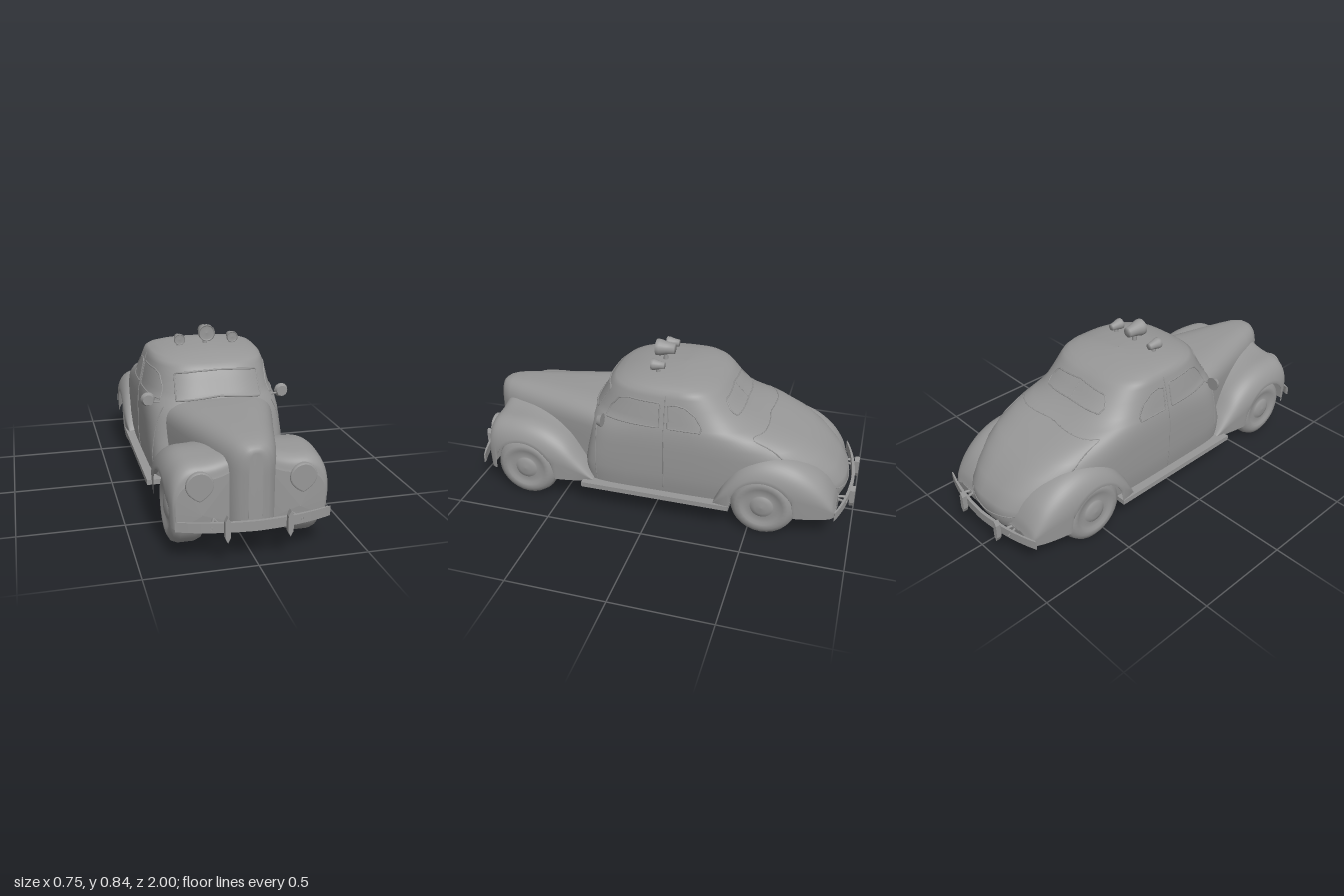
import * as THREE from 'three';

const mat = new THREE.MeshStandardMaterial({ color: 0x979797, side: THREE.DoubleSide });
const V = (x, y, z) => new THREE.Vector3(x, y, z);

function add(parent, name, geo, x = 0, y = 0, z = 0) {
  const m = new THREE.Mesh(geo, mat);
  m.name = name;
  m.position.set(x, y, z);
  parent.add(m);
}

// Skin over a list of equal-length rings; closed rings wrap round.
function loft(rings, closed) {
  const n = rings[0].length, idx = [];
  for (let i = 0; i < rings.length - 1; i++)
    for (let j = 0; j < (closed ? n : n - 1); j++) {
      const a = i * n + j, b = i * n + (j + 1) % n, c = a + n, d = b + n;
      idx.push(a, c, b, b, c, d);
    }
  const g = new THREE.BufferGeometry().setFromPoints(rings.flat());
  g.setIndex(idx);
  g.computeVertexNormals();
  return g;
}

// Body plan outlines by height: y, half width, front z, rear z, front and rear squareness
const ZC = -0.1;
const LEVELS = [
  [0.14, 0.325, 0.37, -0.93, 8, 2.8], [0.2, 0.335, 0.37, -0.955, 8, 2.8],
  [0.26, 0.34, 0.37, -0.945, 8, 2.9], [0.33, 0.34, 0.36, -0.895, 7, 3.1],
  [0.4, 0.34, 0.35, -0.82, 6, 3.4], [0.45, 0.338, 0.35, -0.74, 5, 3.6],
  [0.5, 0.333, 0.35, -0.62, 4, 3.6], [0.53, 0.325, 0.345, -0.51, 3.2, 3.4],
  [0.56, 0.318, 0.33, -0.44, 3, 3.2], [0.62, 0.306, 0.295, -0.38, 3, 3],
  [0.67, 0.291, 0.27, -0.335, 3, 3], [0.69, 0.284, 0.245, -0.31, 3, 3],
  [0.705, 0.271, 0.205, -0.28, 2.8, 2.8], [0.72, 0.232, 0.15, -0.235, 2.6, 2.6],
  [0.73, 0.17, 0.09, -0.19, 2.3, 2.3], [0.737, 0.09, 0.0, -0.15, 2, 2],
  [0.74, 0.001, -0.099, -0.101, 2, 2],
];
function level(y) {
  let i = 0;
  while (i < LEVELS.length - 2 && LEVELS[i + 1][0] < y) i++;
  const a = LEVELS[i], b = LEVELS[i + 1], t = (y - a[0]) / (b[0] - a[0]);
  return a.map((v, k) => v + (b[k] - v) * t);
}
const other = (t, n) => Math.pow(Math.max(0, 1 - Math.pow(Math.abs(t), n)), 1 / n);
// Point on the body side at (z, y), and on its front or rear at (x, y)
function onSide(z, y) {
  const [, w, f, r, nf, nr] = level(y);
  return V(w * (z > ZC ? other((z - ZC) / (f - ZC), nf) : other((z - ZC) / (r - ZC), nr)), y, z);
}
function onEnd(x, y, front) {
  const [, w, f, r, nf, nr] = level(y);
  return V(x, y, ZC + ((front ? f : r) - ZC) * other(x / w, front ? nf : nr));
}
const onFront = (x, y) => onEnd(x, y, true);
const onRear = (x, y) => onEnd(x, y, false);
// Thin trim following a polyline laid on the body
function trim(parent, name, pts, project, radius, closed) {
  const path = new THREE.CurvePath(), ends = closed ? [...pts, pts[0]] : pts;
  for (let i = 0; i < ends.length - 1; i++)
    path.add(new THREE.LineCurve3(V(...ends[i], 0), V(...ends[i + 1], 0)));
  const on = path.getSpacedPoints(60).map(p => project(p.x, p.y));
  if (closed) on.pop();
  add(parent, name, new THREE.TubeGeometry(new THREE.CatmullRomCurve3(on, closed), 100, radius, 5, closed));
}

// Fender shell and end cap: stations [z, top, outer x], open wheel arch at wheelZ;
// rise lifts or drops the inner edge where it meets the body
function fender(stations, wheelZ, archR, rise, endX, endZ) {
  const pts = new THREE.CatmullRomCurve3(stations.map(([z, t, x]) => V(x, t, z))).getPoints(72);
  const base = 0.145, n = 2.5;
  const rings = pts.map(({ x: xo, y: top, z }) => {
    const dz = z - wheelZ, xc = xo - 0.13;
    const bottom = Math.abs(dz) < archR ? 0.17 + Math.sqrt(archR * archR - dz * dz) : base;
    const ym = base + 0.4 * (top - base);
    const s = Math.min(0.98, Math.max(0, (bottom - ym) / (top - ym)));
    const end = Math.asin(Math.pow(s, n / 2));
    const inner = k => Math.max(base, top + rise * k * k);
    // inner apron closes the front and tail corners only
    const ring = [V(0.05, Math.abs(z) > 0.855 ? base : inner(1), z)];
    for (let i = 0; i < 6; i++) {
      const k = 1 - i / 6;
      ring.push(V(xc + (0.05 - xc) * k, inner(k), z));
    }
    for (let i = 0; i <= 12; i++) {
      const a = Math.PI / 2 + (end - Math.PI / 2) * i / 12;
      ring.push(V(xc + 0.13 * Math.pow(Math.max(0, Math.cos(a)), 2 / n), ym + (top - ym) * Math.pow(Math.sin(a), 2 / n), z));
    }
    const last = ring[ring.length - 1];
    ring.push(V(last.x - 0.006, Math.min(last.y, bottom), z));
    return ring;
  });
  const centre = rings[0].map(p => V(endX + (p.x - endX) * 0.02, 0.2 + (p.y - 0.2) * 0.02, endZ));
  return [loft(rings, false), loft([centre, rings[0]], true)];
}

function bumper(parent, name, sign) {
  const g = new THREE.Group();
  g.name = name;
  const s = new THREE.Shape();
  s.moveTo(-0.345, 0.92);
  s.quadraticCurveTo(-0.2, 0.98, 0, 0.987);
  s.quadraticCurveTo(0.2, 0.98, 0.345, 0.92);
  s.lineTo(0.33, 0.918);
  s.quadraticCurveTo(0.2, 0.964, 0, 0.972);
  s.quadraticCurveTo(-0.2, 0.964, -0.33, 0.918);
  const bar = new THREE.ExtrudeGeometry(s, { depth: 0.045, bevelEnabled: false, curveSegments: 12 });
  add(g, 'bumperBar', bar.rotateX(Math.PI / 2), 0, 0.203, 0);
  for (const x of [-0.137, 0.137]) {
    const p = new THREE.Shape([[0, 0.12], [0.012, 0.145], [0.012, 0.215], [0, 0.24], [-0.012, 0.215], [-0.012, 0.145]].map(q => new THREE.Vector2(...q)));
    add(g, 'bumperGuard', new THREE.ExtrudeGeometry(p, { depth: 0.024, bevelEnabled: false }), x, 0, 0.976);
    for (const dx of [0.15, 0.2]) {
      const arm = new THREE.LineCurve3(V(Math.sign(x) * (0.35 - dx), 0.18, 0.968), V(Math.sign(x) * 0.17, 0.18, 0.88));
      add(g, 'bumperBracket', new THREE.TubeGeometry(arm, 1, 0.007, 6));
    }
  }
  if (sign < 0) g.rotation.y = Math.PI;
  parent.add(g);
}

function roofLamp(parent, x, y, r, len) {
  const g = new THREE.Group();
  g.name = 'roofLamp';
  g.position.set(x, y, 0.012);
  const shell = [[0, -len / 2], [r * 0.62, -len / 2], [r * 0.75, -len * 0.1], [r, len * 0.3], [r, len / 2], [r * 0.88, len / 2], [r * 0.8, len * 0.42], [0, len * 0.46]];
  add(g, 'lampShell', new THREE.LatheGeometry(shell.map(p => new THREE.Vector2(...p)), 20).rotateX(Math.PI / 2));
  add(g, 'lampStalk', new THREE.CylinderGeometry(0.008, 0.014, r + 0.03, 8), 0, -(r + 0.03) / 2, 0);
  parent.add(g);
}

export function createModel() {
  const car = new THREE.Group();
  car.name = 'coupe';

  // Cabin, doors and tail
  add(car, 'body', loft(LEVELS.map(([y, w, f, r, nf, nr]) => Array.from({ length: 112 }, (_, i) => {
    const a = i / 112 * Math.PI * 2, c = Math.cos(a), s = Math.sin(a), n = s > 0 ? nf : nr;
    return V(w * Math.sign(c) * Math.pow(Math.abs(c), 2 / n), y, ZC + (s > 0 ? f - ZC : ZC - r) * Math.sign(s) * Math.pow(Math.abs(s), 2 / n));
  })), true));

  // Hood and grille nose: z, half width, top
  const hood = [[0.27, 0.28, 0.53], [0.35, 0.26, 0.54], [0.5, 0.217, 0.538], [0.65, 0.175, 0.535], [0.78, 0.14, 0.53], [0.86, 0.113, 0.524], [0.9, 0.09, 0.514], [0.921, 0.062, 0.5], [0.932, 0.032, 0.484]];
  const hoodRings = hood.map(([z, w, top]) => {
    const ring = [V(-w, 0.15, z), V(-w, 0.27, z)], e = 0.55 + 0.3 * (z - 0.27);
    for (let i = 0; i <= 24; i++) {
      const a = Math.PI * (1 - i / 24), c = Math.cos(a);
      ring.push(V(w * Math.sign(c) * Math.pow(Math.abs(c), e), 0.38 + (top - 0.38) * Math.pow(Math.max(0, Math.sin(a)), e), z));
    }
    return [...ring, V(w, 0.27, z), V(w, 0.15, z)];
  });
  hoodRings.push(hoodRings.at(-1).map(p => V(p.x, 0.15, 0.935)));
  add(car, 'hood', loft(hoodRings, false));

  // Floor, running boards, wheel bay ceilings and tail pan
  add(car, 'runningBoards', new THREE.BoxGeometry(0.74, 0.026, 0.77), 0, 0.144, -0.025);
  add(car, 'underbody', new THREE.BoxGeometry(0.6, 0.25, 0.7), 0, 0.265, -0.04);
  add(car, 'frontBayCeiling', new THREE.BoxGeometry(0.4, 0.01, 0.52), 0, 0.335, 0.59);
  add(car, 'rearBayCeiling', new THREE.BoxGeometry(0.5, 0.01, 0.36), 0, 0.335, -0.56);
  const pan = new THREE.Shape([[-0.33, 0.73], [0.33, 0.73], [0.27, 0.92], [-0.27, 0.92]].map(p => new THREE.Vector2(...p)));
  add(car, 'tailPan', new THREE.ExtrudeGeometry(pan, { depth: 0.03, bevelEnabled: false }).rotateX(-Math.PI / 2), 0, 0.145, 0);

  // Windscreen, rear window and trunk lid edges
  trim(car, 'windscreenFrame', [[-0.21, 0.53], [0, 0.55], [0.21, 0.53], [0.205, 0.648], [0.1, 0.66], [0, 0.664], [-0.1, 0.66], [-0.205, 0.648]], onFront, 0.005, true);
  trim(car, 'rearWindowFrame', [[-0.19, 0.575], [0, 0.58], [0.19, 0.575], [0.2, 0.6], [0.17, 0.645], [0, 0.66], [-0.17, 0.645], [-0.2, 0.6]], onRear, 0.004, true);
  trim(car, 'rearWindowDivider', [[0, 0.58], [0, 0.66]], onRear, 0.003, false);
  trim(car, 'trunkLidEdge', [[-0.28, 0.512], [0, 0.522], [0.28, 0.512], [0.285, 0.43], [0.25, 0.31], [0.16, 0.225], [0, 0.2], [-0.16, 0.225], [-0.25, 0.31], [-0.285, 0.43]], onRear, 0.003, true);

  // Fenders, wheels, lamps and side trim, mirrored
  const front = fender([[0.88, 0.36, 0.335], [0.868, 0.4, 0.348], [0.84, 0.422, 0.358], [0.76, 0.433, 0.369], [0.65, 0.432, 0.375], [0.55, 0.408, 0.373], [0.46, 0.355, 0.365], [0.38, 0.265, 0.35], [0.31, 0.17, 0.335]], 0.68, 0.164, 0.055, 0.22, 0.885);
  const rear = fender([[-0.92, 0.19, 0.295], [-0.9, 0.25, 0.318], [-0.84, 0.335, 0.342], [-0.74, 0.402, 0.364], [-0.63, 0.43, 0.374], [-0.53, 0.422, 0.376], [-0.45, 0.38, 0.374], [-0.38, 0.29, 0.368], [-0.33, 0.17, 0.355]], -0.57, 0.155, -0.06, 0.24, -0.928);
  const tire = new THREE.LatheGeometry([[0, -0.077], [0.13, -0.077], [0.155, -0.064], [0.166, -0.035], [0.166, 0.035], [0.155, 0.062], [0.13, 0.076], [0.105, 0.077], [0.095, 0.066], [0.06, 0.064], [0.057, 0.07], [0.035, 0.078], [0, 0.081]].map(p => new THREE.Vector2(...p)), 28).rotateZ(-Math.PI / 2);
  const drop = new THREE.Shape();
  drop.moveTo(0, -0.062);
  drop.bezierCurveTo(0.025, -0.05, 0.056, -0.025, 0.056, 0.005);
  drop.absarc(0, 0.005, 0.056, 0, Math.PI, false);
  drop.bezierCurveTo(-0.056, -0.025, -0.025, -0.05, 0, -0.062);
  const rim = new THREE.ExtrudeGeometry(drop, { depth: 0.07, bevelSize: 0.006, bevelThickness: 0.006, bevelSegments: 2, curveSegments: 16 });

  for (const side of [1, -1]) {
    const g = new THREE.Group();
    g.name = side > 0 ? 'leftSide' : 'rightSide';
    g.scale.x = side;
    front.forEach(geo => add(g, 'frontFender', geo));
    rear.forEach(geo => add(g, 'rearFender', geo));
    add(g, 'frontWheel', tire, 0.267, 0.167, 0.68);
    add(g, 'rearWheel', tire, 0.267, 0.167, -0.57);
    add(g, 'headlamp', rim, 0.23, 0.333, 0.813);
    trim(g, 'doorWindowFrame', [[0.24, 0.525], [0.215, 0.58], [0.17, 0.63], [0.12, 0.645], [-0.045, 0.645], [-0.045, 0.525]], onSide, 0.004, true);
    trim(g, 'quarterWindowFrame', [[-0.09, 0.525], [-0.085, 0.635], [-0.12, 0.645], [-0.17, 0.635], [-0.22, 0.6], [-0.255, 0.55], [-0.25, 0.525]], onSide, 0.004, true);
    trim(g, 'doorFrontSeam', [[0.29, 0.17], [0.29, 0.5]], onSide, 0.003, false);
    trim(g, 'doorRearSeam', [[-0.07, 0.17], [-0.07, 0.68]], onSide, 0.003, false);
    // Door mirror
    add(g, 'mirror', new THREE.CylinderGeometry(0.035, 0.026, 0.022, 20).rotateX(-Math.PI / 2), 0.338, 0.527, 0.25);
    add(g, 'mirrorStalk', new THREE.TubeGeometry(new THREE.LineCurve3(V(0.25, 0.51, 0.25), V(0.338, 0.52, 0.25)), 1, 0.005, 6));
    car.add(g);
  }

  roofLamp(car, 0, 0.795, 0.042, 0.095);
  for (const x of [-0.137, 0.137]) roofLamp(car, x, 0.765, 0.028, 0.065);
  bumper(car, 'frontBumper', 1);
  bumper(car, 'rearBumper', -1);
  return car;
}
